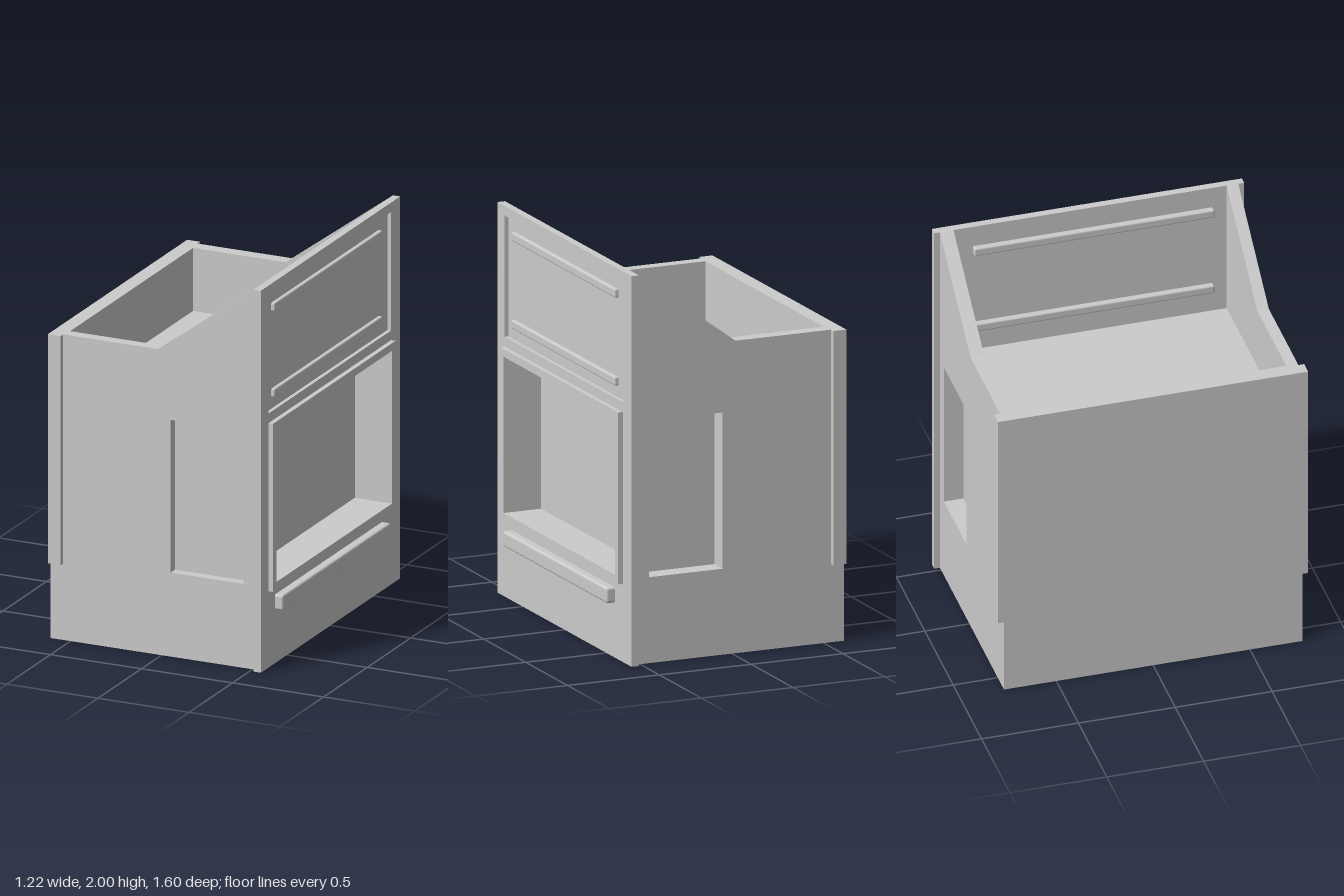
import * as THREE from 'three';
import { RoundedBoxGeometry } from 'three/addons/geometries/RoundedBoxGeometry.js';

const material = new THREE.MeshStandardMaterial({ color: 0xcccccc, flatShading: true });

export function createModel() {
  const model = new THREE.Group();

  const add = (name, geometry) => {
    const mesh = new THREE.Mesh(geometry, material);
    mesh.name = name;
    model.add(mesh);
    return mesh;
  };

  // Box given by its limits on each axis, optionally with rounded edges
  const block = (name, [x0, x1], [y0, y1], [z0, z1], radius = 0) => {
    const size = [x1 - x0, y1 - y0, z1 - z0];
    const geometry = radius ? new RoundedBoxGeometry(...size, 2, radius) : new THREE.BoxGeometry(...size);
    add(name, geometry).position.set((x0 + x1) / 2, (y0 + y1) / 2, (z0 + z1) / 2);
  };

  const polygon = (points) => points.map(([x, y]) => new THREE.Vector2(x, y));
  const rect = ([u0, u1], [v0, v1]) => polygon([[u0, v0], [u1, v0], [u1, v1], [u0, v1]]);

  // Plate with holes, lying in the xy plane and filling z0..z1
  const plateZ = (name, outline, holes, [z0, z1]) => {
    const shape = new THREE.Shape(outline);
    holes.forEach((hole) => shape.holes.push(new THREE.Path(hole)));
    const geometry = new THREE.ExtrudeGeometry(shape, { depth: z1 - z0, bevelEnabled: false });
    return add(name, geometry.translate(0, 0, z0));
  };

  // Same plate turned to face +x: the outline runs along -z and y
  const plateX = (name, outline, holes, range) => {
    plateZ(name, outline, holes, range).geometry.rotateY(Math.PI / 2);
  };

  // Side walls with a sloping shoulder and a recessed pocket
  const profile = polygon([[-0.61, 0], [0.52, 0], [0.52, 2], [-0.02, 1.6], [-0.61, 1.6]]);
  const pocket = rect([0.05, 0.45], [0.44, 1.24]);
  plateZ('frontSideWall', profile, [pocket], [0.71, 0.77]);
  block('frontPocketBack', [0.04, 0.46], [0.43, 1.25], [0.70, 0.72]);
  plateZ('rearSideWall', profile, [pocket], [-0.77, -0.70]);
  plateZ('rearPocketLiner', rect([0.04, 0.46], [0.43, 1.25]), [pocket], [-0.70, -0.67]);
  block('rearPocketBack', [0.04, 0.46], [0.43, 1.25], [-0.67, -0.66]);

  // Closed wall, bin floor and underside
  block('endWall', [-0.61, -0.53], [0, 1.6], [-0.70, 0.71]);
  block('binFloor', [-0.53, 0.52], [1.25, 1.27], [-0.70, 0.71]);
  block('underside', [-0.53, 0.52], [0, 0.04], [-0.70, 0.71]);

  // Corner strips beside the end wall
  block('frontCornerStrip', [-0.61, -0.54], [0.4, 1.6], [0.77, 0.8]);
  block('rearCornerStrip', [-0.61, -0.54], [0.4, 1.6], [-0.8, -0.77]);

  // Tall face panel with a window and a shallow upper recess
  const opening = rect([-0.675, 0.655], [0.44, 1.24]);
  const upperRecess = rect([-0.715, 0.695], [1.33, 1.95]);
  plateX('facePanel', rect([-0.8, 0.8], [0, 2]), [opening, upperRecess], [0.52, 0.56]);
  block('upperRecessBack', [0.52, 0.54], [1.33, 1.95], [-0.695, 0.715]);

  // Window frame and the deep niche behind it
  plateX('windowFrame', rect([-0.715, 0.695], [0.4, 1.28]), [opening], [0.56, 0.585]);
  plateX('nicheLiner', rect([-0.685, 0.665], [0.43, 1.25]), [opening], [0.38, 0.52]);
  block('nicheBack', [0.36, 0.38], [0.43, 1.25], [-0.665, 0.685]);

  // Rails: two pass through the upper recess, one sits below the window
  for (const y of [1.39, 1.84]) block('upperRail', [0.49, 0.56], [y, y + 0.045], [-0.6, 0.64], 0.008);
  block('lowerRail', [0.54, 0.605], [0.28, 0.36], [-0.6, 0.64], 0.012);

  return model;
}
